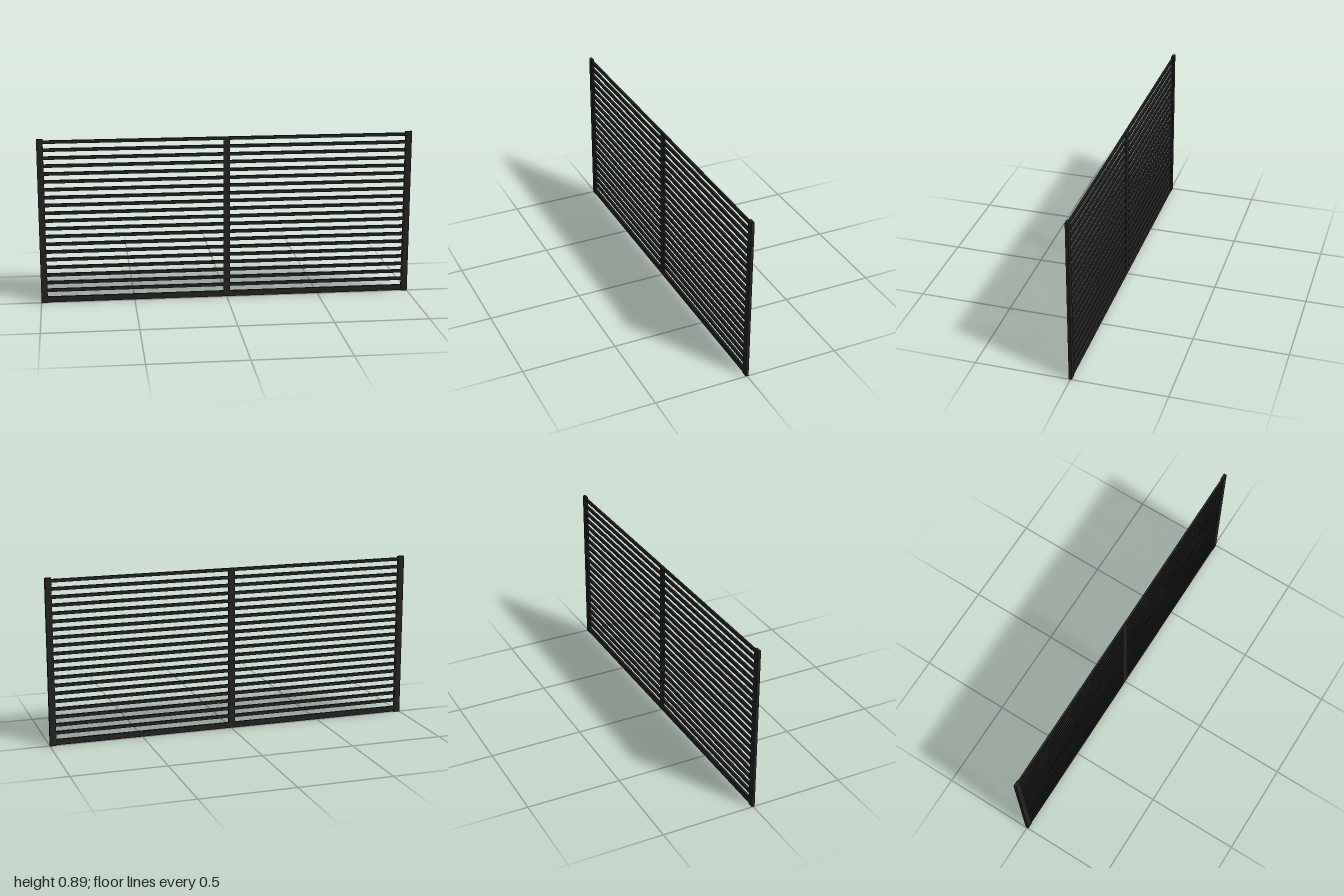
import * as THREE from 'three';

export function createModel() {
  const group = new THREE.Group();
  const darkMetal = new THREE.MeshStandardMaterial({ color: 0x222223 });
  darkMetal.name = 'darkMetal';

  // Box given by its size and its lower edge
  const addBar = (name, width, height, depth, x, bottom) => {
    const bar = new THREE.Mesh(new THREE.BoxGeometry(width, height, depth), darkMetal);
    bar.name = name;
    bar.position.set(x, bottom + height / 2, 0);
    group.add(bar);
  };

  const postWidth = 0.034;
  const postDepth = 0.016;
  const railLength = 2 - 2 * postWidth;

  // End posts, standing slightly proud of the rails
  addBar('leftPost', postWidth, 0.893, postDepth, 1 - postWidth / 2, 0);
  addBar('rightPost', postWidth, 0.893, postDepth, -1 + postWidth / 2, 0);

  // Bottom rail and the centre post between it and the top slat
  addBar('bottomRail', railLength, 0.031, 0.012, 0, 0.003);
  addBar('centrePost', postWidth, 0.836, 0.012, 0, 0.034);

  // Evenly spaced horizontal slats
  const slatHeight = 0.017;
  for (let i = 0; i < 20; i++) {
    addBar('slat' + (i + 1), railLength, slatHeight, 0.0116, 0, 0.0695 + i * 0.0425 - slatHeight / 2);
  }

  return group;
}
